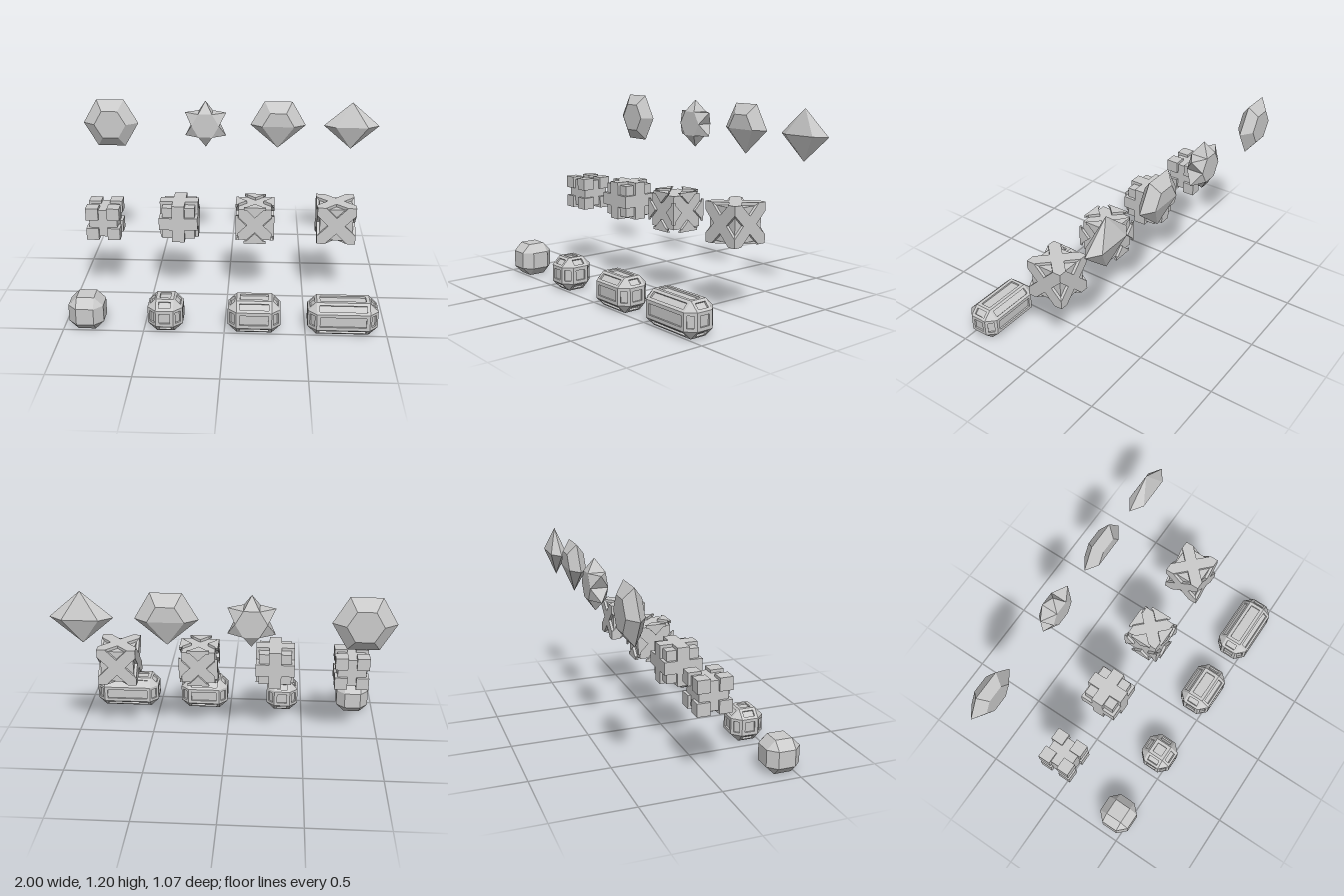
import * as THREE from 'three';
import { ConvexGeometry } from 'three/addons/geometries/ConvexGeometry.js';

const material = new THREE.MeshStandardMaterial({ color: 0xcccccc, flatShading: true });
const V = (x, y, z) => new THREE.Vector3(x, y, z);
const SIGNS = [-1, 1];

function add(parent, name, geometry, x = 0, y = 0, z = 0) {
  const mesh = new THREE.Mesh(geometry, material);
  mesh.name = name;
  mesh.position.set(x, y, z);
  parent.add(mesh);
  return mesh;
}

function addGroup(parent, name, x, y, z) {
  const group = new THREE.Group();
  group.name = name;
  group.position.set(x, y, z);
  parent.add(group);
  return group;
}

const hull = (points) => new ConvexGeometry(points);
const cube = (half) => new THREE.BoxGeometry(2 * half, 2 * half, 2 * half);
const polygon = (points) => new THREE.Shape(points.map(([x, y]) => new THREE.Vector2(x, y)));
const rect = (a, b) => [[-a, -b], [a, -b], [a, b], [-a, b]];
const extrude = (shape, depth) => new THREE.ExtrudeGeometry(shape, { depth, bevelEnabled: false });

// ---- Bottom row: chamfered blocks ----
const CHAMFER = 0.054, DEPTH = 0.011;

// The three points around one corner of a chamfered block; f = flat half sizes
const cornerTriangle = (e, f, sx, sy, sz) => [
  V(sx * e[0], sy * f[1], sz * f[2]),
  V(sx * f[0], sy * e[1], sz * f[2]),
  V(sx * f[0], sy * f[1], sz * e[2]),
];

function eachCorner(fn) {
  for (const x of SIGNS) for (const y of SIGNS) for (const z of SIGNS) fn(x, y, z);
}

function chamferedBlock(e, f) {
  const points = [];
  eachCorner((x, y, z) => points.push(...cornerTriangle(e, f, x, y, z)));
  return hull(points);
}

// Block whose flat and chamfer faces each carry a sunken panel
function panelledBlock(parent, name, x, y, z, halfLength) {
  const group = addGroup(parent, name, x, y, z);
  const e = [halfLength, 0.108, 0.108];
  const f = e.map((v) => v - CHAMFER);
  const eIn = e.map((v) => v - DEPTH);
  const fIn = f.map((v) => v - DEPTH * (Math.SQRT2 - 1));
  add(group, 'panelFloor', chamferedBlock(eIn, fIn));
  eachCorner((sx, sy, sz) => add(group, 'cornerFacet', hull([
    ...cornerTriangle(e, f, sx, sy, sz), ...cornerTriangle(eIn, fIn, sx, sy, sz)])));

  const steps = [-1, 0, 1];
  for (const i of steps) for (const j of steps) for (const k of steps) {
    const n = [i, j, k];
    const count = n.filter(Boolean).length;
    if (count !== 1 && count !== 2) continue;
    const isEdge = count === 2;
    const alongAxis = n.indexOf(0);
    const acrossAxis = n.lastIndexOf(0);
    const w = V(...n).normalize();
    const u = V(0, 0, 0).setComponent(alongAxis, 1);
    const v = w.clone().cross(u);
    const a = f[alongAxis];
    const b = isEdge ? CHAMFER / Math.SQRT2 : f[acrossAxis];
    const inset = isEdge ? 0.018 : 0.021;
    const shape = polygon(rect(a, b));
    shape.holes.push(polygon(rect(a - inset, b - inset)));
    const centre = V(...n.map((s, axis) => s * (e[axis] - (isEdge ? CHAMFER / 2 : 0))));
    const geometry = extrude(shape, DEPTH).translate(0, 0, -DEPTH);
    geometry.applyMatrix4(new THREE.Matrix4().makeBasis(u, v, w).setPosition(centre));
    add(group, isEdge ? 'chamferFrame' : 'faceFrame', geometry);
  }
}

// ---- Middle row: cubes with crossed grooves or ridges ----
const HALF = 0.123, CORE = 0.105, CROSS = 0.053;

// Put a flat relief shape on all six sides of a core cube
function reliefCube(parent, name, x, y, z, outlines) {
  const group = addGroup(parent, name, x, y, z);
  add(group, 'core', cube(CORE));
  const turns = [[0, 0], [0, 1], [0, 2], [0, 3], [1, 0], [-1, 0]];
  for (const [rx, ry] of turns) for (const outline of outlines) {
    const geometry = extrude(polygon(outline), HALF - CORE).translate(0, 0, CORE);
    add(group, 'relief', geometry).rotation.set(rx * Math.PI / 2, ry * Math.PI / 2, 0);
  }
}

const turn = ([x, y], quarter) => {
  for (let i = 0; i < quarter; i++) [x, y] = [-y, x];
  return [x, y];
};

// ---- Top row: cut gems ----
const R = 0.186, TABLE = 0.107, TALL = 0.161, THICK = 0.054;
const ring = (radius, z, from = 0, to = 5) => {
  const points = [];
  for (let i = from; i <= to; i++) {
    const t = i * Math.PI / 3;
    points.push(V(radius * Math.cos(t), radius * Math.sin(t), z));
  }
  return points;
};
const gemRings = (to) => [...ring(R, 0, 0, to), ...ring(TABLE, THICK, 0, to), ...ring(TABLE, -THICK, 0, to)];

export function createModel() {
  const model = new THREE.Group();
  model.name = 'shapeSet';

  // Bottom row
  const e = [0.108, 0.108, 0.108];
  add(model, 'plainBlock', chamferedBlock(e, e.map((v) => v - CHAMFER)), -0.855, 0.108, 0.425);
  panelledBlock(model, 'shortPanelledBlock', -0.364, 0.108, 0.425, 0.108);
  panelledBlock(model, 'mediumPanelledBlock', 0.184, 0.108, 0.425, 0.162);
  panelledBlock(model, 'longPanelledBlock', 0.727, 0.108, 0.425, 0.215);

  // Eight small cubes around a slightly smaller core
  const clustered = addGroup(model, 'groovedCube', -0.797, 0.538, -0.014);
  add(clustered, 'core', cube(0.09));
  eachCorner((x, y, z) => add(clustered, 'cornerCube', cube(0.04), x * 0.068, y * 0.068, z * 0.068));

  // Three crossing plates around a slightly smaller core
  const plated = addGroup(model, 'platedCube', -0.311, 0.554, -0.013);
  add(plated, 'core', cube(0.104));
  for (let axis = 0; axis < 3; axis++) {
    const size = [2 * HALF, 2 * HALF, 2 * HALF];
    size[axis] = 0.08;
    add(plated, 'plate', new THREE.BoxGeometry(...size));
  }

  // Triangles leave an X groove; the X outline makes a ridge
  const m = HALF - CROSS;
  const triangles = [0, 1, 2, 3].map((q) => [[CROSS, 0], [HALF, -m], [HALF, m]].map((p) => turn(p, q)));
  const cross = [0, 1, 2, 3].flatMap((q) => [[CROSS, 0], [HALF, m], [HALF, HALF], [m, HALF]].map((p) => turn(p, q)));
  reliefCube(model, 'diagonalGroovedCube', 0.177, 0.554, -0.012, triangles);
  reliefCube(model, 'diagonalRidgedCube', 0.695, 0.554, -0.03, [cross]);

  // Top row
  const gemY = 1.043, gemZ = -0.479;
  const top = V(0, TALL, 0), bottom = V(0, -TALL, 0);
  add(model, 'hexagonGem', hull(gemRings(5)), -0.814, gemY, gemZ);
  add(model, 'pointedGem', hull([...gemRings(3), bottom]), 0.32, gemY, gemZ);
  const waist = SIGNS.flatMap((s) => [V(s * R, 0, 0), V(s * TABLE, 0, THICK), V(s * TABLE, 0, -THICK)]);
  add(model, 'diamondGem', hull([...waist, top, bottom]), 0.814, gemY, gemZ);

  // Star: hexagonal prism with a pyramid on each side
  const star = addGroup(model, 'starGem', -0.17, gemY, gemZ);
  const inner = TALL / Math.sqrt(3);
  add(star, 'starBody', hull([...ring(inner, THICK), ...ring(inner, -THICK)]));
  for (let i = 0; i < 6; i++) {
    const t = (i + 0.5) * Math.PI / 3;
    const tip = V(TALL * Math.cos(t), TALL * Math.sin(t), 0);
    add(star, 'starPoint', hull([tip, ...ring(inner, THICK, i, i + 1), ...ring(inner, -THICK, i, i + 1)]));
  }
  return model;
}
